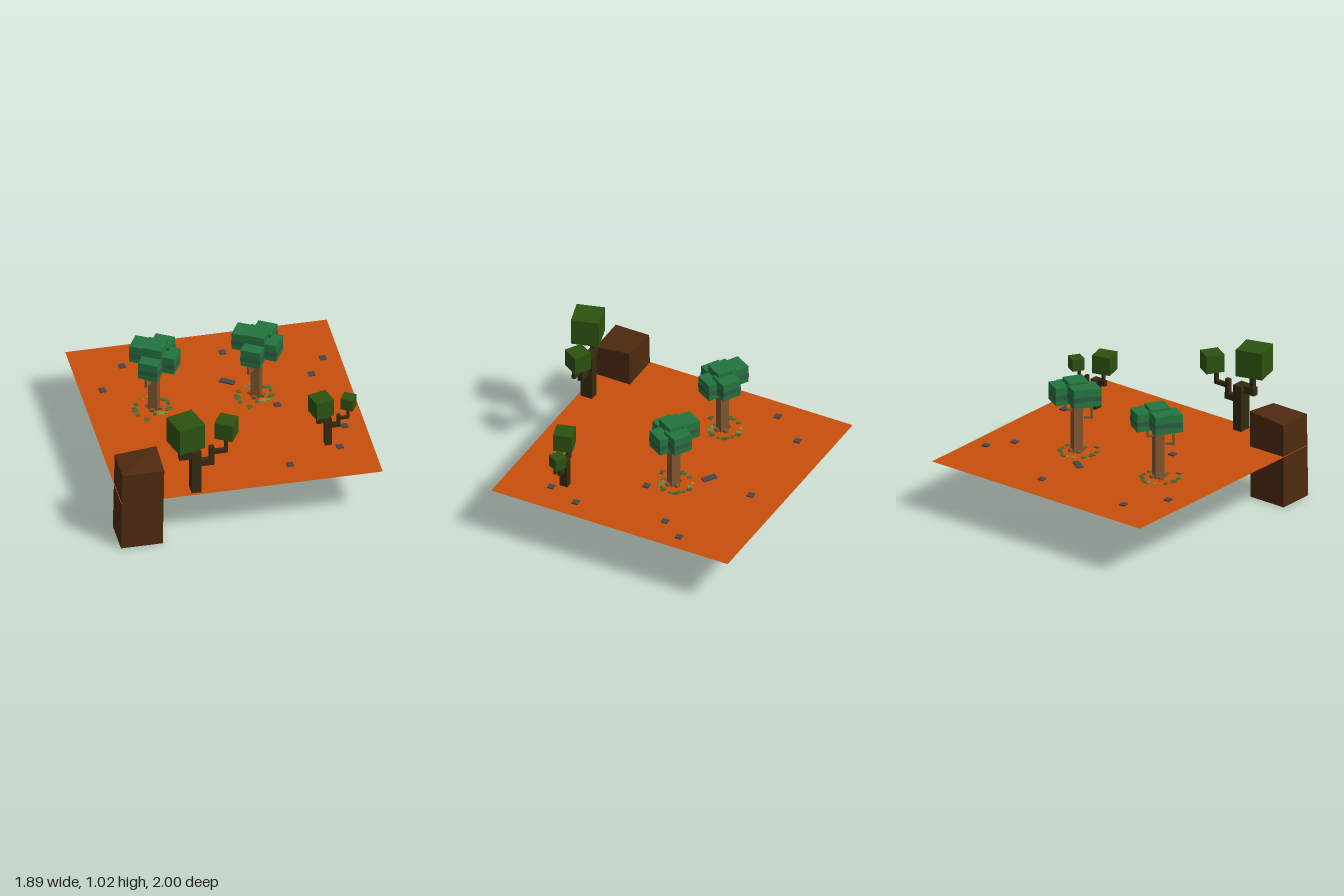
import * as THREE from 'three';

const mat = (name, color) => {
  const m = new THREE.MeshStandardMaterial({ color });
  m.name = name;
  return m;
};

export function createModel() {
  const root = new THREE.Group();
  root.name = 'desertClearing';
  const GROUND = 0.385;

  const earth = mat('orangeEarth', 0xc8500c);
  earth.side = THREE.DoubleSide;
  const pillarBrown = mat('pillarBrown', 0x4e2a0f);
  const darkWood = mat('darkOliveWood', 0x352b10);
  const oliveLeaf = mat('oliveLeaf', 0x2c5210);
  const paleWood = mat('paleWood', 0x80552f);
  const greenLeaf = mat('greenLeaf', 0x22753f);
  const bandLeaf = mat('shadedLeafBand', 0x2f5a43);
  const stone = mat('greyStone', 0x46474c);
  const litter = mat('fallenLeaf', 0x3f6a35);
  const dryLitter = mat('dryFallenLeaf', 0x7d8a3a);

  // Box by size and centre, turned about y
  const box = (parent, name, material, [w, h, d], [x, y, z], turn = 0) => {
    const m = new THREE.Mesh(new THREE.BoxGeometry(w, h, d), material);
    m.name = name;
    m.position.set(x, y, z);
    m.rotation.y = turn;
    parent.add(m);
    return m;
  };
  // Box by its limits on each axis
  const span = (parent, name, material, x0, x1, y0, y1, z0, z1) =>
    box(parent, name, material, [x1 - x0, y1 - y0, z1 - z0],
      [(x0 + x1) / 2, (y0 + y1) / 2, (z0 + z1) / 2]);

  // Thin ground sheet
  const ground = new THREE.Mesh(new THREE.PlaneGeometry(1.89, 1.89), earth);
  ground.name = 'ground';
  ground.rotation.x = -Math.PI / 2;
  ground.position.set(0, GROUND, -0.055);
  root.add(ground);

  // Corner pillar, leaning slightly, with an uneven top
  const pillar = span(root, 'cornerPillar', pillarBrown, -0.947, -0.645, 0, 0.62, 0.615, 0.89);
  const p = pillar.geometry.attributes.position;
  for (let i = 0; i < p.count; i++) {
    if (p.getY(i) < 0) continue;
    const right = p.getX(i) > 0, back = p.getZ(i) < 0;
    p.setX(i, p.getX(i) + 0.011);
    p.setY(i, p.getY(i) + (right && back ? 0.035 : 0.005));
    if (back) p.setZ(i, p.getZ(i) + 0.008);
  }
  pillar.geometry = pillar.geometry.toNonIndexed();
  pillar.geometry.computeVertexNormals();

  // Forked tree with two cube crowns
  const forkedTree = (x, z, scale) => {
    const g = new THREE.Group();
    g.name = 'forkedTree';
    g.position.set(x, 0.37, z);
    g.scale.setScalar(scale);
    span(g, 'trunk', darkWood, -0.036, 0.036, 0, 0.36, -0.045, 0.048);
    span(g, 'leftBranch', darkWood, -0.122, 0, 0.3, 0.36, -0.01, 0.035);
    span(g, 'leftStem', darkWood, -0.108, -0.078, 0.33, 0.46, -0.002, 0.032);
    span(g, 'rightBranch', darkWood, 0.03, 0.135, 0.22, 0.268, -0.02, 0.02);
    span(g, 'rightStep', darkWood, 0.1, 0.135, 0.23, 0.37, -0.017, 0.017);
    span(g, 'rightArm', darkWood, 0.1, 0.235, 0.305, 0.336, -0.015, 0.012);
    span(g, 'rightStem', darkWood, 0.21, 0.235, 0.31, 0.43, -0.015, 0.01);
    box(g, 'largeCrown', oliveLeaf, [0.203, 0.203, 0.203], [-0.08, 0.551, 0.05], 0.28);
    box(g, 'smallCrown', oliveLeaf, [0.135, 0.135, 0.135], [0.233, 0.488, -0.038], -0.54);
    root.add(g);
  };
  forkedTree(-0.395, 0.82, 1);
  forkedTree(0.637, 0.463, 0.672);

  // Tall tree: crown of five overlapping blocks, each with a darker band
  const TURN = -0.53;
  const crown = [
    [0, 0.868, 0], [-0.082, 0.855, -0.058], [0.068, 0.838, -0.074],
    [0.083, 0.812, 0.033], [-0.047, 0.8, 0.08],
  ];
  const tallTree = (x, z) => {
    const g = new THREE.Group();
    g.name = 'tallTree';
    g.position.set(x, 0, z);
    box(g, 'trunk', paleWood, [0.068, 0.43, 0.068], [-0.008, 0.593, 0], TURN);
    for (const [cx, cy, cz] of crown) {
      box(g, 'crownBlock', greenLeaf, [0.144, 0.132, 0.144], [cx, cy, cz], TURN);
      box(g, 'crownBand', bandLeaf, [0.147, 0.036, 0.147], [cx, cy - 0.01, cz], TURN);
    }
    // Thin side twigs rising into the crown
    box(g, 'frontTwig', paleWood, [0.015, 0.014, 0.06], [-0.063, 0.638, 0.06], -0.85);
    box(g, 'frontTwigRise', paleWood, [0.014, 0.13, 0.014], [-0.083, 0.69, 0.078], TURN);
    box(g, 'backTwig', paleWood, [0.015, 0.014, 0.06], [0.03, 0.706, -0.04], -0.85);
    box(g, 'backTwigRise', paleWood, [0.014, 0.08, 0.014], [0.046, 0.735, -0.055], TURN);
    // Stubby roots and a ring of fallen leaves
    for (let i = 0; i < 4; i++) {
      const a = TURN + i * Math.PI / 2;
      box(g, 'root', paleWood, [0.03, 0.03, 0.04],
        [-0.008 + 0.04 * Math.sin(a), 0.39, 0.04 * Math.cos(a)], a);
    }
    for (let i = 0; i < 18; i++) {
      const a = i * 2.4, r = 0.075 + 0.09 * ((i * 7) % 18) / 18;
      const s = 0.02 + 0.006 * (i % 3);
      const leaf = box(g, 'fallenLeaf', i % 4 ? litter : dryLitter, [s, 0.008, s * 1.25],
        [r * Math.sin(a), GROUND + 0.002, r * Math.cos(a)], a * 1.7);
      leaf.rotation.x = 0.25 * ((i % 3) - 1);
    }
    root.add(g);
  };
  tallTree(0.275, -0.21);
  tallTree(-0.465, -0.208);

  // Scattered stones
  const stones = [
    [-0.59, -0.745], [0.14, -0.76], [-0.785, -0.485], [0.82, -0.545], [0.7, -0.37],
    [0.385, -0.055], [-0.305, 0.16], [0.795, 0.295], [0.71, 0.535], [0.32, 0.675],
  ];
  for (const [x, z] of stones) {
    box(root, 'stone', stone, [0.046, 0.016, 0.046], [x, 0.387, z], 0.08);
  }
  box(root, 'longStone', stone, [0.11, 0.034, 0.046], [0.098, 0.379, -0.405], -0.56);

  return root;
}
